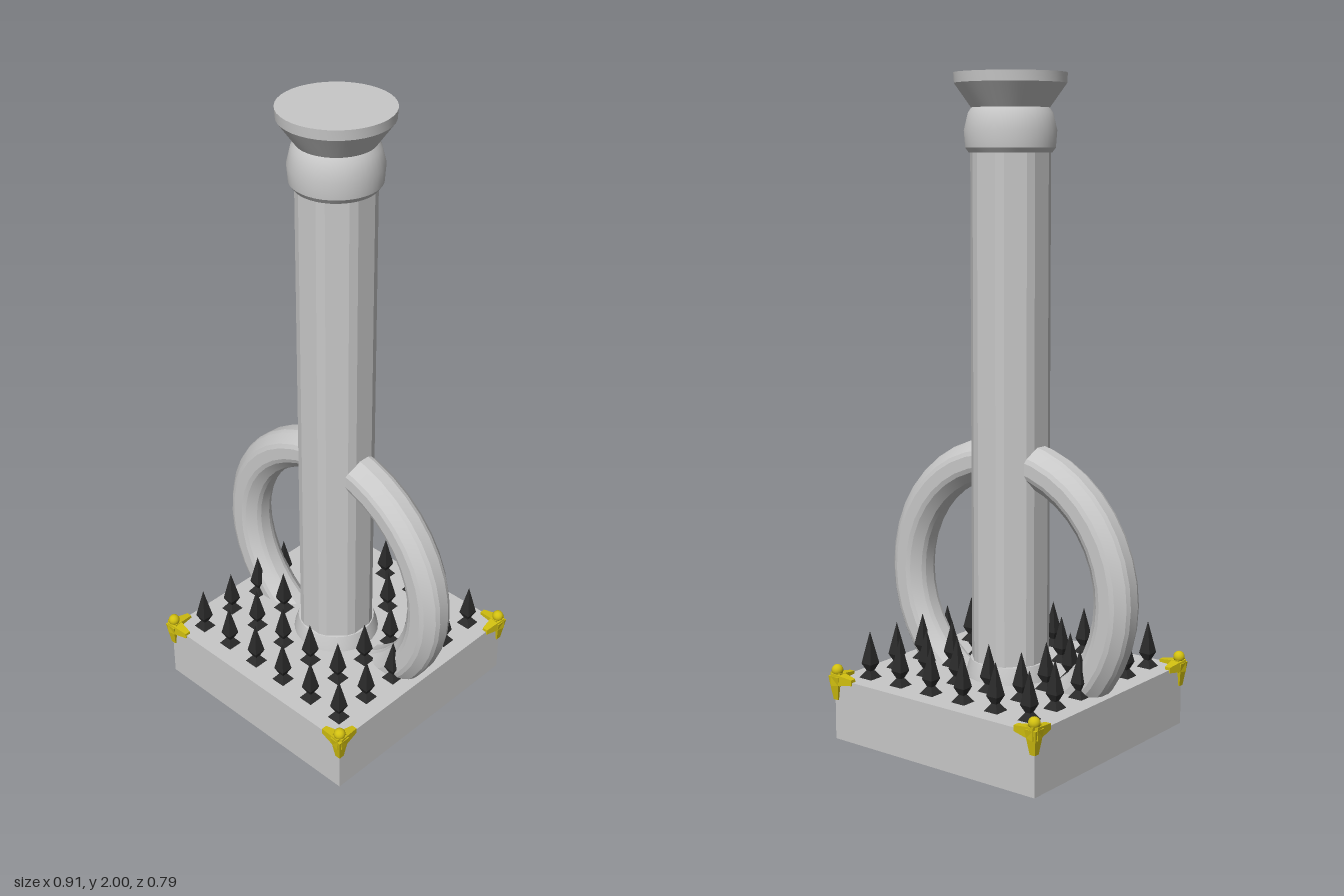
import * as THREE from 'three';
import { toCreasedNormals } from 'three/addons/utils/BufferGeometryUtils.js';

const stone = new THREE.MeshStandardMaterial({ color: 0xc8c8c8 });
stone.name = 'stone';
const iron = new THREE.MeshStandardMaterial({ color: 0x2a2a2a, flatShading: true });
iron.name = 'darkIron';
const gold = new THREE.MeshStandardMaterial({ color: 0xd2c010 });
gold.name = 'gold';

const FLUTES = 8;
const BASE_TOP = 0.19;

function add(parent, name, geometry, material, x = 0, y = 0, z = 0) {
  const mesh = new THREE.Mesh(geometry, material);
  mesh.name = name;
  mesh.position.set(x, y, z);
  parent.add(mesh);
  return mesh;
}

// Angle of corner k: wide panels alternate with narrow ridges
function fluteAngle(k) {
  const period = (Math.PI * 2) / FLUTES;
  return Math.floor(k / 2) * period + (k % 2 ? 1 : -1) * 0.28;
}

function lathe(points, segments) {
  const profile = points.map(([r, y]) => new THREE.Vector2(r, y));
  return new THREE.LatheGeometry(profile, segments, segments === 4 ? Math.PI / 4 : 0);
}

// Straight shaft with faceted flutes
function shaftGeometry(radius, height) {
  const corners = [];
  for (let k = 0; k < FLUTES * 2; k++) {
    const a = fluteAngle(k);
    corners.push(new THREE.Vector2(radius * Math.cos(a), radius * Math.sin(a)));
  }
  const geometry = new THREE.ExtrudeGeometry(new THREE.Shape(corners), { depth: height, bevelEnabled: false });
  return geometry.rotateX(-Math.PI / 2);
}

// Torus whose cross-section follows the same flutes
function ringGeometry(ringRadius, tubeRadius) {
  const around = FLUTES * 2, along = 40;
  const geometry = new THREE.TorusGeometry(ringRadius, tubeRadius, around, along);
  const pos = geometry.attributes.position;
  for (let j = 0; j <= around; j++) {
    const v = fluteAngle(j);
    for (let i = 0; i <= along; i++) {
      const u = (i / along) * Math.PI * 2;
      const r = ringRadius + tubeRadius * Math.cos(v);
      pos.setXYZ(j * (along + 1) + i, r * Math.cos(u), r * Math.sin(u), tubeRadius * Math.sin(v));
    }
  }
  return toCreasedNormals(geometry, 0.2);
}

// Three tapered claws gripping a corner, topped by a ball; built for +x +z
function cornerMount() {
  const group = new THREE.Group();
  group.name = 'cornerMount';
  const length = 0.075;
  const claw = new THREE.CylinderGeometry(0.009 * Math.SQRT2, 0.02 * Math.SQRT2, length, 4)
    .rotateY(Math.PI / 4).translate(0, length / 2 - 0.01, 0).toNonIndexed();
  claw.computeVertexNormals();
  add(group, 'clawAlongX', claw, gold).rotation.z = Math.PI / 2;
  add(group, 'clawAlongZ', claw, gold).rotation.x = -Math.PI / 2;
  add(group, 'clawDown', claw, gold).rotation.x = Math.PI;
  add(group, 'neck', new THREE.CylinderGeometry(0.009, 0.015, 0.02, 12), gold, 0, 0.014, 0);
  add(group, 'ball', new THREE.SphereGeometry(0.018, 16, 12), gold, 0, 0.027, 0);
  return group;
}

export function createModel() {
  const model = new THREE.Group();
  model.name = 'monument';

  // Plinth
  add(model, 'plinth', new THREE.BoxGeometry(0.76, BASE_TOP, 0.76), stone, 0, BASE_TOP / 2, 0);

  // Column with foot and capital
  add(model, 'shaft', shaftGeometry(0.12, 1.6), stone, 0, BASE_TOP, 0);
  add(model, 'foot', toCreasedNormals(lathe(
    [[0.138, 0.185], [0.134, 0.205], [0.123, 0.24], [0.1, 0.245]], 32), 0.5), stone);
  add(model, 'capital', toCreasedNormals(lathe([
    [0, 1.77], [0.122, 1.77], [0.133, 1.785], [0.137, 1.835], [0.125, 1.885],
    [0.115, 1.9], [0.165, 1.97], [0.167, 2.0], [0, 2.0],
  ], 40), 0.4), stone);

  // Upright ring passing through the column and sunk in the plinth
  add(model, 'ring', ringGeometry(0.39, 0.066), stone, 0, 0.47, 0);

  // Grid of square spikes
  const spikes = new THREE.Group();
  spikes.name = 'spikes';
  model.add(spikes);
  const spike = lathe([[0.034, 0], [0.012, 0.022], [0.027, 0.045], [0.015, 0.09], [0, 0.145]], 4);
  for (let i = 0; i < 6; i++) {
    for (let j = 0; j < 6; j++) {
      add(spikes, 'spike', spike, iron, (i - 2.5) * 0.1217, BASE_TOP, (j - 2.5) * 0.1217);
    }
  }

  // Corner mounts, one turned to each corner
  for (let k = 0; k < 4; k++) {
    const a = (k * Math.PI) / 2;
    const mount = cornerMount();
    mount.rotation.y = a;
    mount.position.set(0.375 * (Math.cos(a) + Math.sin(a)), BASE_TOP, 0.375 * (Math.cos(a) - Math.sin(a)));
    model.add(mount);
  }

  return model;
}
